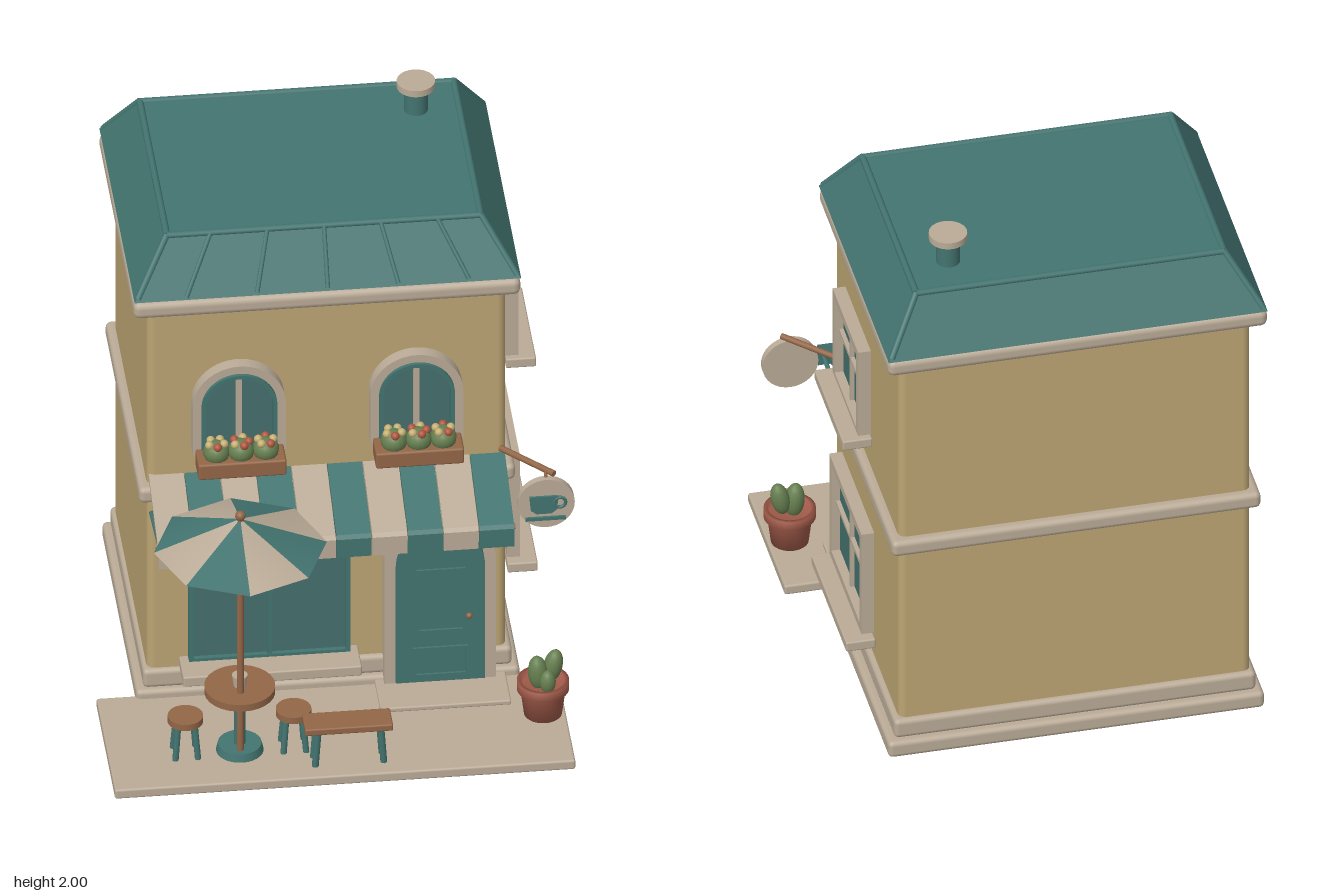
import * as THREE from 'three';
import { RoundedBoxGeometry } from 'three/addons/geometries/RoundedBoxGeometry.js';

const paint = (name, color, side = THREE.FrontSide) => {
  const m = new THREE.MeshStandardMaterial({ color, side });
  m.name = name;
  return m;
};

export function createModel() {
  const model = new THREE.Group();
  model.name = 'cafe';
  const wall = paint('sand wall', 0xbda573);
  const cream = paint('cream stone', 0xbaab97, THREE.DoubleSide);
  const teal = paint('teal', 0x437470, THREE.DoubleSide);
  const glass = paint('window glass', 0x45706d);
  const wood = paint('wood', 0x936647);
  const clay = paint('terracotta', 0xa05a49);
  const leaf = paint('leaf green', 0x667f50);
  const red = paint('red blossom', 0xb0553f);
  const yellow = paint('yellow blossom', 0xc4ae72);

  const add = (name, geo, mat, x = 0, y = 0, z = 0, parent = model) => {
    const mesh = new THREE.Mesh(geo, mat);
    mesh.name = name;
    mesh.position.set(x, y, z);
    parent.add(mesh);
    return mesh;
  };
  // Box given by its limits on each axis, with softened edges
  const block = (name, mat, [x0, x1], [y0, y1], [z0, z1], r = 0.006) => {
    const s = [x1 - x0, y1 - y0, z1 - z0];
    const geo = r ? new RoundedBoxGeometry(...s, 2, Math.min(r, Math.min(...s) * 0.45)) : new THREE.BoxGeometry(...s);
    return add(name, geo, mat, (x0 + x1) / 2, (y0 + y1) / 2, (z0 + z1) / 2);
  };
  const drum = (name, mat, x, z, y0, y1, rBottom, rTop = rBottom, n = 28) =>
    add(name, new THREE.CylinderGeometry(rTop, rBottom, y1 - y0, n), mat, x, (y0 + y1) / 2, z);
  const rod = (name, mat, a, b, r) => {
    const p = new THREE.Vector3(...a), d = new THREE.Vector3(...b).sub(p);
    const mesh = add(name, new THREE.CylinderGeometry(r, r, d.length(), 10), mat);
    mesh.position.copy(p).addScaledVector(d, 0.5);
    mesh.quaternion.setFromUnitVectors(new THREE.Vector3(0, 1, 0), d.normalize());
    return mesh;
  };
  const ball = (name, mat, x, y, z, r, sy = 1) => {
    const mesh = add(name, new THREE.SphereGeometry(r, 14, 10), mat, x, y, z);
    mesh.scale.y = sy;
    return mesh;
  };
  const extrude = (name, shape, mat, depth, x, y, z) =>
    add(name, new THREE.ExtrudeGeometry(shape, { depth, bevelEnabled: false, curveSegments: 20 }), mat, x, y, z);
  // Outline with straight sides, flat foot and half-round head
  const arch = (r, y0, spring, C = THREE.Shape) => {
    const s = new C();
    s.moveTo(-r, y0);
    s.lineTo(r, y0);
    s.lineTo(r, spring);
    s.absarc(0, spring, r, 0, Math.PI, false);
    s.closePath();
    return s;
  };
  const archRing = (r, t, y0, spring, foot = 0) => {
    const s = arch(r, y0, spring);
    s.holes.push(arch(r - t, y0 + foot, spring, THREE.Path));
    return s;
  };
  const rect = (w, h, C = THREE.Shape) => {
    const s = new C();
    s.moveTo(-w / 2, -h / 2);
    s.lineTo(w / 2, -h / 2);
    s.lineTo(w / 2, h / 2);
    s.lineTo(-w / 2, h / 2);
    s.closePath();
    return s;
  };
  const rectRing = (w, h, t) => {
    const s = rect(w, h);
    s.holes.push(rect(w - 2 * t, h - 2 * t, THREE.Path));
    return s;
  };

  // Walls, stone courses and pavement
  block('walls', wall, [-0.64, 0.595], [0.03, 1.66], [-0.815, 0.155], 0.028);
  block('basePlinth', cream, [-0.68, 0.64], [0.005, 0.07], [-0.855, 0.185], 0.018);
  block('upperPlinth', cream, [-0.655, 0.615], [0.07, 0.145], [-0.835, 0.172], 0.018);
  block('middleBand', cream, [-0.67, 0.625], [0.845, 0.908], [-0.847, 0.185], 0.02);
  block('cornice', cream, [-0.69, 0.642], [1.62, 1.685], [-0.862, 0.2], 0.024);
  block('patio', cream, [-0.815, 0.77], [0, 0.038], [0.16, 0.72], 0.008);
  block('doorstep', cream, [0.14, 0.59], [0.036, 0.055], [0.16, 0.36]);

  // Sloped roof with ribs
  const roofGeo = new THREE.BoxGeometry(1, 1, 1).toNonIndexed();
  const rp = roofGeo.attributes.position;
  for (let i = 0; i < rp.count; i++) {
    const up = rp.getY(i) > 0;
    rp.setXYZ(i, -0.022 + rp.getX(i) * (up ? 1.09 : 1.33), up ? 1.88 : 1.69, -0.337 + rp.getZ(i) * (up ? 0.82 : 1.06));
  }
  roofGeo.computeVertexNormals();
  add('roof', roofGeo, teal);
  const x0 = -0.022, z0 = -0.337;
  for (const sx of [-1, 1]) for (const sz of [-1, 1])
    rod('roofHip', teal, [x0 + sx * 0.652, 1.698, z0 + sz * 0.518], [x0 + sx * 0.54, 1.88, z0 + sz * 0.405], 0.012);
  for (const s of [-1, 1]) {
    rod('roofRidge', teal, [x0 - 0.54, 1.878, z0 + s * 0.405], [x0 + 0.54, 1.878, z0 + s * 0.405], 0.012);
    rod('roofRidge', teal, [x0 + s * 0.54, 1.878, z0 - 0.405], [x0 + s * 0.54, 1.878, z0 + 0.405], 0.012);
  }
  for (let i = -2; i <= 2; i++)
    rod('roofRib', teal, [x0 + i * 0.243, 1.7, 0.19], [x0 + i * 0.195, 1.88, 0.072], 0.008);
  drum('chimney', teal, 0.37, -0.585, 1.86, 1.98, 0.041);
  drum('chimneyCap', cream, 0.37, -0.585, 1.975, 2, 0.066);

  // Arched upper windows with flower boxes
  for (const x of [-0.328, 0.283]) {
    extrude('archSurround', archRing(0.16, 0.03, 1.05, 1.245), cream, 0.05, x, 0, 0.152);
    extrude('archGlass', arch(0.125, 1.05, 1.245), glass, 0.02, x, 0, 0.155);
    extrude('archSash', archRing(0.13, 0.014, 1.05, 1.245, 0.014), teal, 0.06, x, 0, 0.155);
    block('archMullion', cream, [x - 0.01, x + 0.01], [1.05, 1.36], [0.17, 0.19], 0);
    block('flowerBox', wood, [x - 0.152, x + 0.152], [1.012, 1.075], [0.2, 0.305], 0.008);
    for (let i = -1; i <= 1; i++) {
      ball('bush', leaf, x + i * 0.085, 1.095, 0.255, 0.046, 0.95);
      for (let k = 0; k < 5; k++) {
        const a = k * 1.257 + i;
        const mat = (k + i + 5) % 3 === (i === 0 ? 2 : 0) || (i === 0 && k % 2) ? red : yellow;
        ball('blossom', mat, x + i * 0.085 + 0.027 * Math.cos(a), 1.13, 0.255 + 0.027 * Math.sin(a), 0.015);
      }
    }
  }

  // Shop window
  extrude('shopFrame', rectRing(0.555, 0.56, 0.016), teal, 0.04, -0.222, 0.46, 0.152);
  block('shopGlass', glass, [-0.49, 0.045], [0.19, 0.73], [0.15, 0.175], 0);
  block('shopMullion', teal, [-0.23, -0.212], [0.19, 0.73], [0.16, 0.188], 0);
  block('shopSill', cream, [-0.53, 0.085], [0.145, 0.185], [0.15, 0.285]);

  // Door
  extrude('doorSurround', archRing(0.192, 0.04, 0.055, 0.545), cream, 0.06, 0.362, 0, 0.152);
  extrude('door', arch(0.153, 0.06, 0.535), teal, 0.07, 0.362, 0, 0.152);
  extrude('doorUpperPanel', rectRing(0.17, 0.26, 0.01), teal, 0.008, 0.362, 0.397, 0.222);
  extrude('doorLowerPanel', rectRing(0.19, 0.12, 0.01), teal, 0.008, 0.362, 0.145, 0.222);
  ball('doorKnob', wood, 0.46, 0.33, 0.232, 0.011);

  // Left side windows
  for (const [yc, h, w, sillY] of [[1.312, 0.365, 0.385, 1.105], [0.55, 0.42, 0.485, 0.29]]) {
    const frame = extrude('sideFrame', rectRing(w, h, 0.03), cream, 0.045, 0.626, yc, -0.33);
    frame.rotation.y = Math.PI / 2;
    block('sideGlass', glass, [0.628, 0.64], [yc - h / 2 + 0.02, yc + h / 2 - 0.02], [-0.33 - w / 2 + 0.02, -0.33 + w / 2 - 0.02], 0);
    block('sideMullion', cream, [0.63, 0.655], [yc - h / 2 + 0.02, yc + h / 2 - 0.02], [-0.337, -0.323], 0);
    block('sideBar', cream, [0.63, 0.655], [yc + 0.015, yc + 0.029], [-0.33 - w / 2 + 0.02, -0.33 + w / 2 - 0.02], 0);
    block('sideSill', cream, [0.626, 0.73], [sillY, sillY + 0.038], [-0.355 + 0.025 - w / 2 - 0.024, -0.33 + w / 2 + 0.024]);
  }

  // Striped awning, profile in z and y
  const profile = new THREE.Shape([[0.15, 0.948], [0.432, 0.838], [0.443, 0.825], [0.443, 0.752], [0.43, 0.752],
    [0.43, 0.82], [0.15, 0.93]].map(p => new THREE.Vector2(...p)));
  const stripe = 0.1228;
  for (let i = 0; i < 10; i++)
    extrude('awningStripe', profile, i % 2 ? teal : cream, stripe - 0.003, -0.637 + (i + 1) * stripe, 0, 0).rotation.y = -Math.PI / 2;
  rod('awningRod', wood, [-0.64, 0.822, 0.425], [0.596, 0.822, 0.425], 0.01);
  for (const x of [-0.625, 0.58]) rod('awningArm', teal, [x, 0.79, 0.155], [x, 0.825, 0.42], 0.008);

  // Hanging round sign with a cup
  rod('signBracket', wood, [0.575, 0.968, 0.16], [0.74, 0.968, 0.335], 0.011);
  rod('signHanger', wood, [0.712, 0.94, 0.333], [0.712, 0.968, 0.32], 0.006);
  add('signDisc', new THREE.CylinderGeometry(0.098, 0.098, 0.026, 32), cream, 0.712, 0.855, 0.335).rotation.x = Math.PI / 2;
  const cup = new THREE.Shape([[-0.055, 0.03], [-0.05, -0.025], [-0.03, -0.04], [0.02, -0.04], [0.04, -0.025],
    [0.045, 0.03]].map(p => new THREE.Vector2(...p)));
  extrude('signCup', cup, teal, 0.009, 0.708, 0.858, 0.347);
  add('signCupHandle', new THREE.TorusGeometry(0.02, 0.006, 8, 16), teal, 0.758, 0.86, 0.352);
  block('signSaucer', teal, [0.64, 0.778], [0.79, 0.803], [0.347, 0.356], 0);

  // Eight-panel umbrella
  const ux = -0.366, uz = 0.565;
  for (let i = 0; i < 8; i++)
    add('umbrellaPanel', new THREE.ConeGeometry(0.298, 0.118, 1, 1, true, i * Math.PI / 4, Math.PI / 4),
      i % 2 ? teal : cream, ux, 0.966, uz);
  for (let i = 0; i < 8; i++) {
    const a = i * Math.PI / 4;
    rod('umbrellaRib', wood, [ux, 1.015, uz], [ux + 0.28 * Math.sin(a), 0.909, uz + 0.28 * Math.cos(a)], 0.003);
  }
  drum('umbrellaPole', wood, ux, uz, 0.05, 1.03, 0.012);
  ball('umbrellaFinial', wood, ux, 1.038, uz, 0.018);

  // Table, cup and stools
  const tz = 0.522;
  drum('tableBase', teal, -0.363, tz, 0.036, 0.068, 0.082, 0.075);
  drum('tableStem', teal, -0.363, tz, 0.06, 0.285, 0.02);
  drum('tableTop', wood, -0.363, tz, 0.278, 0.305, 0.122);
  drum('tableCup', cream, -0.363, tz, 0.305, 0.348, 0.022, 0.027);
  for (const x of [-0.55, -0.178]) {
    drum('stoolSeat', wood, x, tz, 0.17, 0.195, 0.061);
    for (let k = 0; k < 4; k++) {
      const c = Math.cos(k * Math.PI / 2 + 0.785), s = Math.sin(k * Math.PI / 2 + 0.785);
      rod('stoolLeg', teal, [x + 0.055 * c, 0.036, tz + 0.055 * s], [x + 0.04 * c, 0.175, tz + 0.04 * s], 0.011);
    }
  }

  // Bench
  block('benchSeat', wood, [-0.155, 0.148], [0.178, 0.205], [0.57, 0.675]);
  for (const sx of [-1, 1]) for (const z of [0.595, 0.65])
    rod('benchLeg', teal, [sx * 0.118, 0.036, z], [sx * 0.108, 0.18, z], 0.012);

  // Potted cactus
  const pot = [[0, 0.036], [0.065, 0.036], [0.078, 0.14], [0.09, 0.14], [0.09, 0.175], [0.075, 0.175], [0.073, 0.155], [0, 0.155]];
  add('pot', new THREE.LatheGeometry(pot.map(p => new THREE.Vector2(...p)), 28), clay, 0.692, 0, 0.42);
  const lobes = [[0.675, 0.205, 0.42, 0.035, 1.9, 0.08], [0.728, 0.225, 0.41, 0.033, 1.9, -0.2], [0.705, 0.185, 0.45, 0.028, 1.6, 0]];
  for (const [x, y, z, r, sy, tilt] of lobes) ball('cactusLobe', leaf, x, y, z, r, sy).rotation.z = tilt;

  return model;
}
